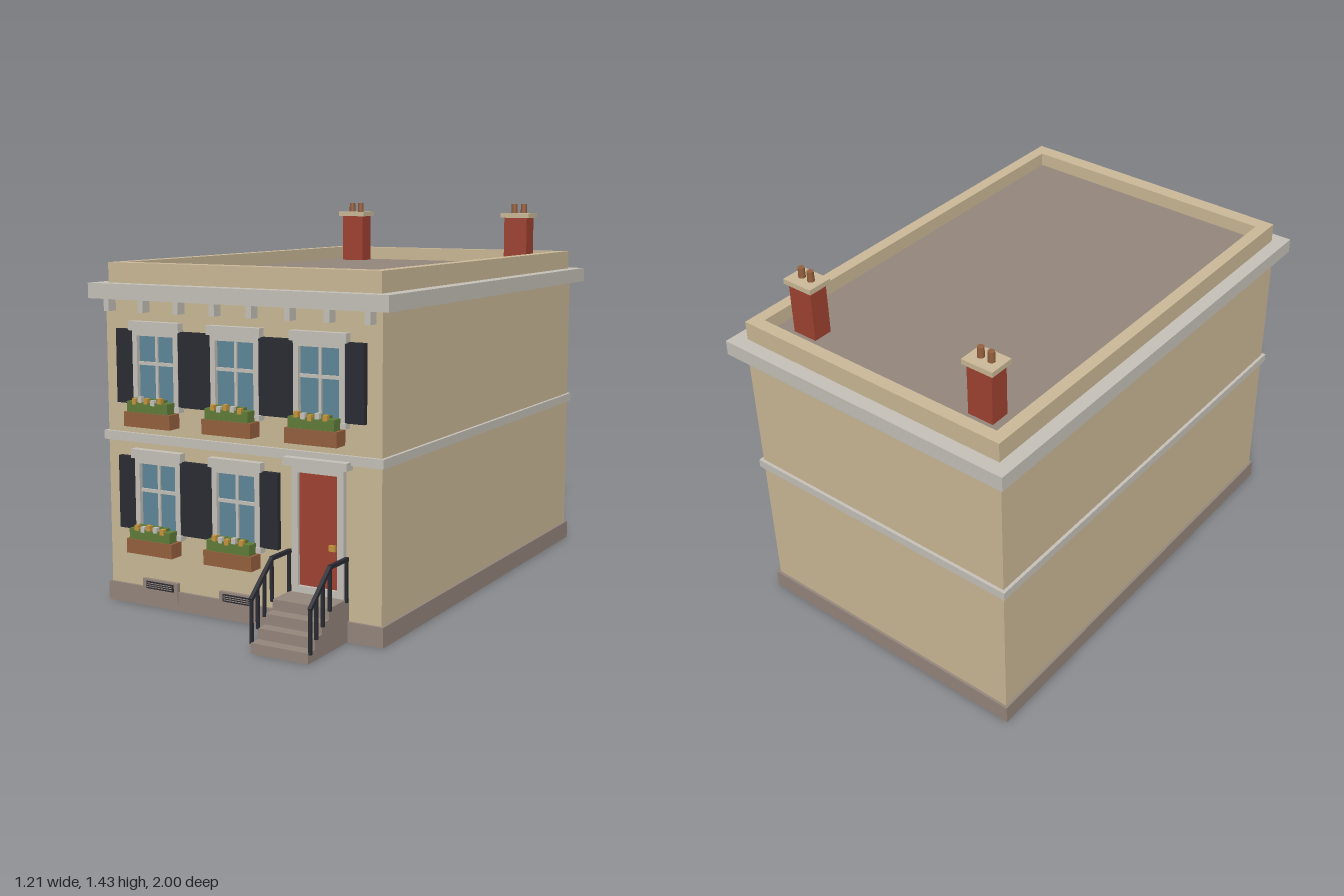
import * as THREE from 'three';

const mat = (name, color) => {
  const m = new THREE.MeshStandardMaterial({ color });
  m.name = name;
  return m;
};

export function createModel() {
  const wall = mat('tan stucco', 0xcbb997);
  const trim = mat('pale stone trim', 0xc6c1b9);
  const stone = mat('grey brown stone', 0x94867c);
  const brick = mat('red', 0xa04232);
  const dark = mat('dark iron', 0x2b2c34);
  const glass = mat('blue glass', 0x5f8798);
  const clay = mat('terracotta', 0x95603e);
  const leaf = mat('leaf green', 0x617c3a);
  const gold = mat('gold', 0xc8963c);

  const house = new THREE.Group();
  house.name = 'townHouse';

  const group = (parent, name, x = 0, y = 0, z = 0) => {
    const g = new THREE.Group();
    g.name = name;
    g.position.set(x, y, z);
    parent.add(g);
    return g;
  };
  // Box given by its minimum and maximum on each axis
  const box = (parent, name, m, x0, x1, y0, y1, z0, z1) => {
    const mesh = new THREE.Mesh(new THREE.BoxGeometry(x1 - x0, y1 - y0, z1 - z0), m);
    mesh.position.set((x0 + x1) / 2, (y0 + y1) / 2, (z0 + z1) / 2);
    mesh.name = name;
    parent.add(mesh);
    return mesh;
  };
  // Vertical rectangular ring facing +z
  const frame = (parent, name, m, w, y0, y1, t, z0, z1) => {
    const g = group(parent, name);
    for (const s of [-1, 1]) {
      const a = s * w / 2, b = s * (w / 2 - t);
      box(g, name + 'Side', m, Math.min(a, b), Math.max(a, b), y0, y1, z0, z1);
    }
    box(g, name + 'Top', m, -w / 2 + t, w / 2 - t, y1 - t, y1, z0, z1);
    box(g, name + 'Bottom', m, -w / 2 + t, w / 2 - t, y0, y0 + t, z0, z1);
  };

  const F = 0.735; // front face of the wall

  // Main masses
  box(house, 'foundation', stone, -0.57, 0.57, 0, 0.07, -0.96, 0.745);
  box(house, 'walls', wall, -0.56, 0.56, 0.07, 1.11, -0.95, F);
  box(house, 'floorBand', trim, -0.572, 0.572, 0.6, 0.632, -0.962, 0.748);
  box(house, 'cornice', trim, -0.605, 0.605, 1.11, 1.165, -1, 0.78);
  box(house, 'roof', stone, -0.51, 0.51, 1.16, 1.185, -0.905, 0.675);

  // Parapet around the flat roof
  const parapet = group(house, 'parapet');
  for (const s of [-1, 1]) {
    const a = s * 0.553, b = s * 0.507;
    box(parapet, 'parapetSide', wall, Math.min(a, b), Math.max(a, b), 1.165, 1.237, -0.947, 0.728);
  }
  box(parapet, 'parapetFront', wall, -0.507, 0.507, 1.165, 1.237, 0.672, 0.728);
  box(parapet, 'parapetBack', wall, -0.507, 0.507, 1.165, 1.237, -0.947, -0.9);

  // Brackets under the cornice
  for (let i = 0; i < 8; i++) {
    const x = -0.528 + i * 0.1506;
    box(house, 'corniceBracket', trim, x - 0.011, x + 0.011, 1.067, 1.11, F, 0.775);
  }

  // Chimneys
  for (const s of [-1, 1]) {
    const c = group(house, 'chimney', s * 0.387, 0, -0.797);
    box(c, 'chimneyStack', brick, -0.05, 0.05, 1.17, 1.378, -0.037, 0.037);
    box(c, 'chimneyCap', wall, -0.062, 0.062, 1.378, 1.397, -0.048, 0.048);
    for (const x of [-0.021, 0.021]) {
      const pot = new THREE.Mesh(new THREE.CylinderGeometry(0.012, 0.013, 0.038, 12), clay);
      pot.name = 'chimneyPot';
      pot.position.set(x, 1.416, 0);
      c.add(pot);
    }
  }

  // Windows; heights are measured from the bottom of the flower box
  const flowers = [[-0.055, gold], [-0.03, trim], [-0.004, gold], [0.025, trim], [0.055, gold]];
  const makeWindow = (x, y, k) => {
    const w = group(house, 'window', x, y, 0);
    box(w, 'pane', glass, -0.08, 0.08, 0.06, 0.325, F, 0.739);
    frame(w, 'windowFrame', trim, 0.196, 0.055, 0.337, 0.02, F, 0.755);
    box(w, 'centreBar', trim, -0.005, 0.005, 0.075, 0.32, F, 0.746);
    box(w, 'crossBar', trim, -0.08, 0.08, 0.213, 0.225, F, 0.747);
    box(w, 'lintel', trim, -0.108, 0.108, 0.335, 0.368, F, 0.764);
    box(w, 'sill', trim, -0.108, 0.108, 0.055, 0.074, F, 0.766);
    for (const s of [-1, 1]) {
      box(w, 'shutter', dark, s * 0.135 - 0.036, s * 0.135 + 0.036, 0.073, 0.338, F, 0.754);
    }
    const f = group(w, 'flowerBox');
    box(f, 'planter', clay, -0.099, 0.099, 0, 0.052, 0.752, 0.81);
    box(f, 'foliage', leaf, -0.088, 0.088, 0.052, 0.09, 0.763, 0.806);
    flowers.forEach(([fx, m], i) => {
      const h = 0.094 + ((i * 2 + k) % 3) * 0.004;
      box(f, 'foliageTuft', leaf, fx - 0.018, fx + 0.004, 0.085, 0.099, 0.765, 0.795);
      box(f, 'flower', m, fx - 0.008, fx + 0.008, h - 0.014, h + 0.006, 0.792, 0.809);
    });
  };
  [-0.333, 0, 0.333].forEach((x, i) => makeWindow(x, 0.667, i));
  [-0.333, 0].forEach((x, i) => makeWindow(x, 0.209, i + 1));

  // Basement vents
  for (const x of [-0.333, 0]) {
    const v = group(house, 'basementVent', x, 0, 0);
    box(v, 'ventSurround', stone, -0.077, 0.077, 0.03, 0.102, F, 0.75);
    box(v, 'ventOpening', dark, -0.06, 0.06, 0.068, 0.095, 0.75, 0.753);
    for (const y of [0.075, 0.082, 0.089]) {
      box(v, 'ventSlat', stone, -0.055, 0.055, y - 0.001, y + 0.001, 0.753, 0.756);
    }
  }

  // Front door
  const entry = group(house, 'entrance', 0.328, 0, 0);
  box(entry, 'door', brick, -0.08, 0.08, 0.165, 0.562, F, 0.745);
  frame(entry, 'doorFrame', trim, 0.2, 0.148, 0.585, 0.024, F, 0.757);
  box(entry, 'doorHood', trim, -0.123, 0.123, 0.585, 0.612, F, 0.778);
  box(entry, 'doorKnob', gold, 0.044, 0.066, 0.305, 0.325, 0.745, 0.757);

  // Steps
  const steps = group(house, 'steps', 0.328, 0, 0);
  for (const [h, z0, z1] of [[0.148, F, 0.866], [0.111, 0.866, 0.912], [0.074, 0.912, 0.956], [0.037, 0.956, 1]]) {
    box(steps, 'step', stone, -0.108, 0.108, 0, h, z0, z1);
  }

  // Railings: vertical posts under a sloping and a level handrail
  const bar = (parent, name, y0, z0, y1, z1, t) => {
    const len = Math.hypot(y1 - y0, z1 - z0);
    const m = new THREE.Mesh(new THREE.BoxGeometry(t, t, len), dark);
    m.name = name;
    m.position.set(0, (y0 + y1) / 2, (z0 + z1) / 2);
    m.rotation.x = -Math.atan2(y1 - y0, z1 - z0);
    parent.add(m);
  };
  for (const s of [-1, 1]) {
    const r = group(house, 'railing', 0.328 + s * 0.111, 0, 0);
    for (const [z, y0, y1] of [[0.989, 0.03, 0.18], [0.952, 0.07, 0.21], [0.911, 0.1, 0.246], [0.866, 0.14, 0.287], [0.757, 0.14, 0.287]]) {
      bar(r, 'railPost', y0, z, y1, z, 0.01);
    }
    bar(r, 'slopingRail', 0.287, 0.864, 0.178, 0.992, 0.013);
    bar(r, 'levelRail', 0.287, 0.75, 0.287, 0.868, 0.013);
  }
  return house;
}
